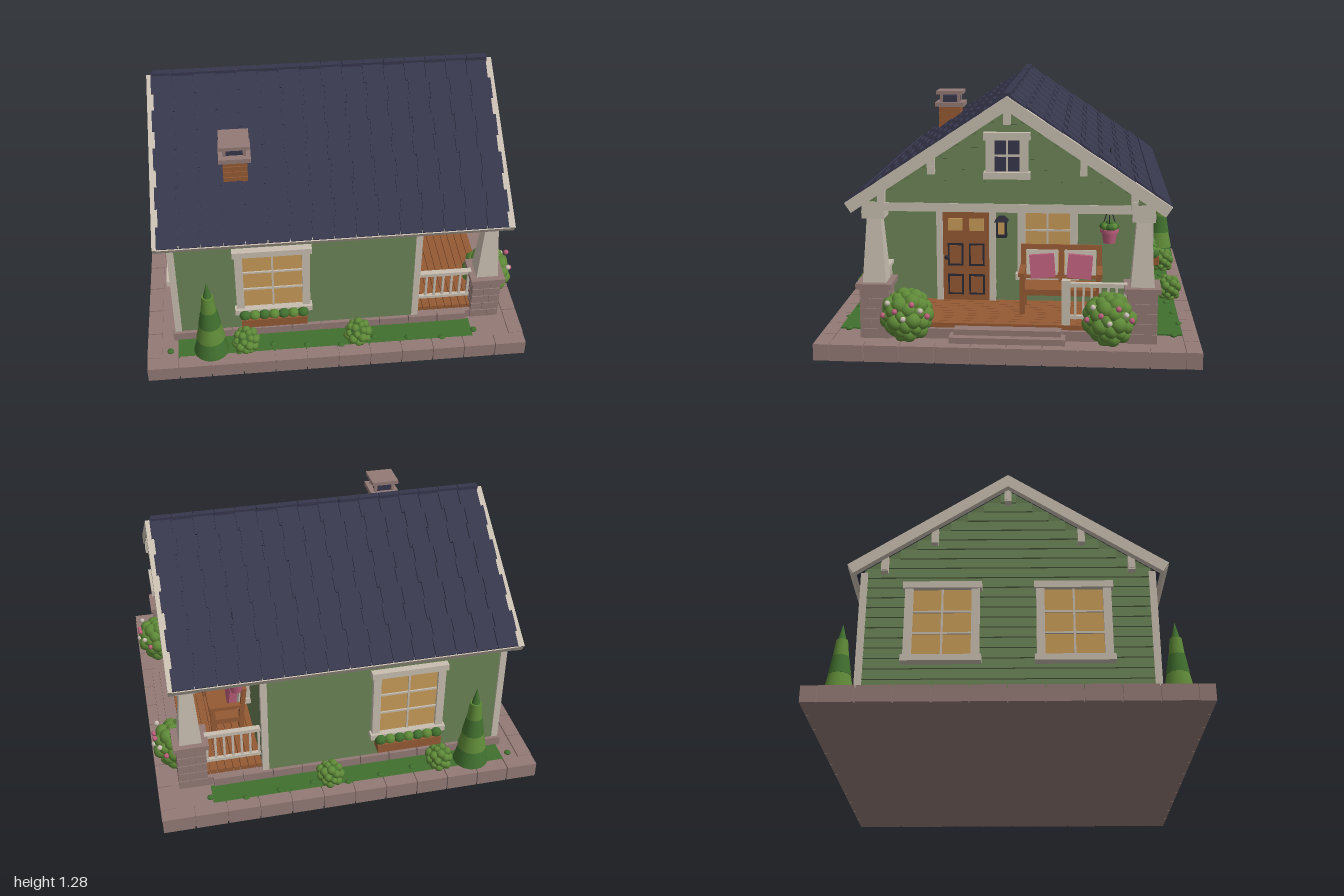
import * as THREE from 'three';

const mat = (name, color) => Object.assign(new THREE.MeshStandardMaterial({ color }), { name });
const M = {
  roof: mat('slate navy', 0x37374d), green: mat('siding green', 0x647a50), trim: mat('cream trim', 0xc8beb0),
  stone: mat('mauve stone', 0x937a76), wood: mat('warm wood', 0x955a34), leaf: mat('leaf green', 0x5f8a38),
  grass: mat('dark green', 0x41702f), glow: mat('lit glass', 0xc89c58), pink: mat('rose', 0xbd5f7c),
  iron: mat('dark iron', 0x2a2a36),
};
const RIDGE = 1.265, SLOPE = 0.585, TAN = Math.tan(SLOPE);

const group = (p, name, x = 0, y = 0, z = 0, ry = 0) => {
  const g = new THREE.Group();
  g.name = name; g.position.set(x, y, z); g.rotation.y = ry; p.add(g);
  return g;
};
const put = (p, name, geo, m, x, y, z) => {
  const o = new THREE.Mesh(geo, m);
  o.name = name; o.position.set(x, y, z); p.add(o);
  return o;
};
const box = (p, name, m, x, y, z, w, h, d) => put(p, name, new THREE.BoxGeometry(w, h, d), m, x, y, z);
const ball = (p, name, m, x, y, z, r) => put(p, name, new THREE.SphereGeometry(r, 9, 7), m, x, y, z);

// box whose top is narrowed by a factor
function taper(p, name, m, x, y, z, w, h, d, k) {
  const g = new THREE.BoxGeometry(w, h, d), a = g.attributes.position;
  for (let i = 0; i < a.count; i++) if (a.getY(i) > 0) a.setXYZ(i, a.getX(i) * k, a.getY(i), a.getZ(i) * k);
  g.computeVertexNormals();
  return put(p, name, g, m, x, y, z);
}

// square pier of coursed blocks with narrow recessed joints
function masonry(p, name, m, x, y0, z, w, d, rows, h) {
  const g = group(p, name, x, y0, z);
  box(g, name + 'Core', m, 0, rows * h / 2, 0, w - 0.016, rows * h, d - 0.016);
  for (let r = 0; r < rows; r++) {
    const cut = r % 2 ? 0.4 : 0.6;
    for (const s of [-1, 1]) for (const t of [-1, 1]) {
      const bw = w * (s < 0 ? cut : 1 - cut), bd = d * (t < 0 ? 1 - cut : cut);
      box(g, name + 'Block', m, s * (w - bw) / 2, (r + 0.5) * h, t * (d - bd) / 2, bw - 0.006, h - 0.006, bd - 0.006);
    }
  }
}

// lapped boards on a wall facing local +z; width follows the given rule
function siding(p, y0, y1, widthAt, pitch = 0.054) {
  for (let y = y0; y < y1 - 0.01; y += pitch) {
    const h = Math.min(pitch, y1 - y), w = widthAt(y + h);
    if (w > 0.03) box(p, 'sidingBoard', M.green, 0, y + h / 2, 0.004, w, h + 0.004, 0.008).rotation.x = -0.2;
  }
}

function windowUnit(p, x, y, w, h, glass, cols, rows, planter) {
  const g = group(p, 'window', x, y, 0.01), t = 0.04;
  box(g, 'glass', glass, 0, 0, 0.008, w - t, h - t, 0.008);
  for (const s of [-1, 1]) box(g, 'sideCasing', M.trim, s * (w - t) / 2, 0, 0.012, t, h, 0.035);
  box(g, 'headCasing', M.trim, 0, h / 2 - 0.015, 0.016, w + 0.02, 0.035, 0.045);
  box(g, 'sill', M.trim, 0, -h / 2 + 0.015, 0.018, w + 0.02, 0.032, 0.055);
  for (let i = 1; i < cols; i++) box(g, 'muntin', M.trim, (i / cols - 0.5) * (w - 2 * t), 0, 0.014, 0.01, h - t, 0.012);
  for (let i = 1; i < rows; i++) box(g, 'muntin', M.trim, 0, (i / rows - 0.5) * (h - 2 * t), 0.014, w - t, 0.01, 0.012);
  if (planter) {
    box(g, 'planterBox', M.wood, 0, -h / 2 - 0.035, 0.045, w - 0.04, 0.05, 0.07);
    for (let i = 0; i < 7; i++) ball(g, 'planterLeaf', i % 2 ? M.leaf : M.grass, (i / 6 - 0.5) * (w - 0.08), -h / 2, 0.05, 0.03);
  }
}

function bush(p, x, y, z, r, n, flowers) {
  const g = group(p, 'bush', x, y, z);
  ball(g, 'bushCore', M.grass, 0, 0, 0, r * 0.82);
  for (let i = 0; i < n; i++) {
    const v = 1 - 2 * (i + 0.5) / n, q = Math.sqrt(1 - v * v), a = i * 2.39996;
    ball(g, 'leafClump', M.leaf, q * Math.cos(a) * r * 0.76, v * r * 0.76, q * Math.sin(a) * r * 0.76, r * (0.25 + 0.04 * (i % 3)));
  }
  for (let i = 0; i < flowers; i++) {
    const a = -1 + 2 * i / (flowers - 1);
    ball(g, 'flower', i % 2 ? M.trim : M.pink, r * 0.95 * Math.cos(a), r * (0.1 + 0.28 * (i % 3)), r * Math.sin(a), 0.014);
  }
}

function railing(p, x, z, len, ry) {
  const g = group(p, 'railing', x, 0, z, ry), n = Math.round(len / 0.045);
  box(g, 'topRail', M.trim, 0, 0.352, 0, len, 0.02, 0.03);
  box(g, 'bottomRail', M.trim, 0, 0.19, 0, len, 0.016, 0.02);
  for (let i = 0; i <= n; i++) box(g, 'baluster', M.trim, (i / n - 0.5) * (len - 0.02), 0.262, 0, 0.012, 0.17, 0.012);
}

function roofSide(p, ry) {
  const g = group(group(p, 'roofSide', 0, RIDGE, 0, ry), 'roofSlope');
  g.rotation.x = SLOPE;
  const dx = ry ? 0.015 : -0.015, L = 0.92;
  box(g, 'roofDeck', M.roof, dx, -0.015, L / 2, 1.74, 0.03, L);
  for (const s of [-1, 1]) box(g, 'bargeBoard', M.trim, dx + s * 0.882, -0.024, L / 2 + 0.003, 0.035, 0.056, L + 0.01);
  box(g, 'eaveFascia', M.trim, dx, -0.02, L, 1.76, 0.04, 0.02);
  for (let r = 0; r < 9; r++) for (let c = 0; c < 16; c++) {
    const shift = (r % 2 ? 0.006 : -0.006), down = c % 2 && r < 8 ? 0.022 : 0;
    box(g, 'shingle', M.roof, dx + (c - 7.5) * 0.1092 + shift, 0.007, (r + 0.5) * L / 9 + down, 0.105, 0.011, 0.112).rotation.x = 0.07;
  }
}

export function createModel() {
  const root = new THREE.Group();
  root.name = 'cottage';

  // plinth, curb stones and lawns
  const yard = group(root, 'yard');
  box(yard, 'groundSlab', M.stone, -0.01, 0.036, 0, 1.95, 0.072, 1.83);
  for (const s of [-1, 1]) {
    for (let i = 0; i < 12; i++) box(yard, 'curbStone', M.stone, -0.01 + (i - 5.5) * 0.165, 0.041, s * 0.892, 0.159, 0.082, 0.075);
    for (let i = 0; i < 10; i++) box(yard, 'curbStone', M.stone, -0.01 + s * 0.952, 0.041, (i - 4.5) * 0.171, 0.075, 0.082, 0.165);
    box(yard, 'lawn', M.grass, -0.065, 0.074, s * 0.79, 1.55, 0.012, 0.13);
    for (let i = 0; i < 10; i++) ball(yard, 'grassTuft', M.grass, -0.88 + i * 0.178, 0.08, s * (0.81 + 0.02 * (i % 3)), 0.018).scale.y = 0.6;
  }
  masonryBand(yard);

  // solid house body under the roof
  const house = group(root, 'house');
  const eave = RIDGE - 0.7 * TAN - 0.034, apex = RIDGE - 0.034;
  const prism = (pts, depth) => new THREE.ExtrudeGeometry(new THREE.Shape(pts.map(q => new THREE.Vector2(...q))), { depth, bevelEnabled: false }).rotateY(Math.PI / 2);
  put(house, 'walls', prism([[-0.7, 0.12], [0.7, 0.12], [0.7, eave], [0, apex], [-0.7, eave]], 1.255), M.green, -0.835, 0, 0);
  const gableWidth = y => Math.min(1.4, 2 * (apex - y) / TAN);

  // long walls
  for (const ry of [0, Math.PI]) {
    const s = ry ? -1 : 1, w = group(house, 'longWall', 0, 0, s * 0.7, ry);
    const boards = group(w, 'boards', s * -0.2075);
    siding(boards, 0.125, 0.75, () => 1.25);
    windowUnit(w, s * -0.332, 0.465, 0.38, 0.42, M.glow, 2, 3, true);
  }
  // back wall with two windows
  const back = group(house, 'backWall', -0.835, 0, 0, -Math.PI / 2);
  siding(back, 0.125, 1.21, gableWidth);
  for (const s of [-1, 1]) windowUnit(back, s * 0.315, 0.465, 0.36, 0.42, M.glow, 2, 3, false);
  // porch wall with its window
  const front = group(house, 'porchWall', 0.42, 0, 0, Math.PI / 2);
  siding(front, 0.155, 1.21, gableWidth);
  windowUnit(front, 0.175, 0.48, 0.31, 0.41, M.glow, 2, 3, false);
  for (const x of [-0.835, 0.417]) for (const s of [-1, 1]) box(house, 'cornerTrim', M.trim, x, 0.435, s * 0.7, 0.034, 0.62, 0.034);

  // panelled front door
  const door = group(front, 'door', -0.247, 0, 0.012);
  box(door, 'doorSlab', M.wood, 0, 0.395, 0.005, 0.245, 0.48, 0.025);
  for (const s of [-1, 1]) {
    box(door, 'doorCasing', M.trim, s * 0.137, 0.405, 0.008, 0.033, 0.5, 0.035);
    box(door, 'doorLight', M.glow, s * 0.055, 0.56, 0.018, 0.075, 0.065, 0.009);
    for (const [y, h] of [[0.4, 0.12], [0.24, 0.11]]) {
      box(door, 'panelGroove', M.iron, s * 0.055, y, 0.017, 0.082, h, 0.006);
      box(door, 'raisedPanel', M.wood, s * 0.055, y, 0.019, 0.062, h - 0.022, 0.009);
    }
  }
  box(door, 'doorHead', M.trim, 0, 0.652, 0.012, 0.315, 0.036, 0.045);
  ball(door, 'doorKnob', M.iron, -0.1, 0.385, 0.028, 0.012);

  // wall lantern
  const lamp = group(front, 'lantern', -0.06, 0.555, 0.055);
  box(lamp, 'lanternGlass', M.glow, 0, 0, 0, 0.04, 0.07, 0.04);
  for (const a of [-1, 1]) for (const b of [-1, 1]) box(lamp, 'lanternBar', M.iron, a * 0.022, 0, b * 0.022, 0.009, 0.08, 0.009);
  box(lamp, 'lanternFoot', M.iron, 0, -0.043, 0, 0.055, 0.014, 0.055);
  taper(lamp, 'lanternCap', M.iron, 0, 0.045, 0, 0.07, 0.025, 0.07, 0.4);
  box(lamp, 'lanternArm', M.iron, 0, 0.02, -0.035, 0.02, 0.05, 0.04);

  // porch floor and steps
  const porch = group(root, 'porch');
  for (let i = 0; i < 10; i++) box(porch, 'floorPlank', M.wood, 0.445 + i * 0.04, 0.14, 0, 0.037, 0.024, 1.38);
  box(porch, 'upperStep', M.stone, 0.855, 0.11, 0, 0.06, 0.06, 0.52);
  box(porch, 'lowerStep', M.stone, 0.885, 0.092, 0, 0.08, 0.04, 0.56);

  // tapered posts on stone piers, beams, side rails
  for (const s of [-1, 1]) {
    masonry(porch, 'pier', M.stone, 0.795, 0.08, s * 0.647, 0.155, 0.15, 5, 0.051);
    box(porch, 'pierCap', M.stone, 0.795, 0.345, s * 0.647, 0.18, 0.026, 0.175);
    taper(porch, 'post', M.trim, 0.795, 0.52, s * 0.647, 0.115, 0.33, 0.115, 0.58);
    box(porch, 'postCapital', M.trim, 0.795, 0.695, s * 0.647, 0.11, 0.04, 0.11);
    box(porch, 'sideBeam', M.trim, 0.61, 0.735, s * 0.647, 0.4, 0.035, 0.06);
    box(porch, 'beamBrace', M.trim, 0.68, 0.702, s * 0.647, 0.14, 0.022, 0.03).rotation.z = -0.4;
    railing(porch, 0.575, s * 0.647, 0.29, 0);
  }
  box(porch, 'frontBeam', M.trim, 0.805, 0.735, 0, 0.09, 0.042, 1.4);
  railing(porch, 0.8, -0.425, 0.3, Math.PI / 2);
  box(porch, 'newelPost', M.trim, 0.8, 0.262, -0.28, 0.042, 0.225, 0.042);

  // porch gable, attic window and eave brackets
  put(porch, 'porchGable', prism([[-0.7, 0.75], [0.7, 0.75], [0.7, eave], [0, apex]].concat([[-0.7, eave]]), 0.03), M.green, 0.805, 0, 0);
  const gable = group(porch, 'gableFace', 0.835, 0, 0, Math.PI / 2);
  siding(gable, 0.757, 1.21, gableWidth);
  windowUnit(gable, 0, 0.99, 0.2, 0.215, M.roof, 2, 2, false);
  for (const f of [gable, back]) for (const z of [-0.6, -0.36, 0, 0.36, 0.6]) {
    const y = RIDGE - Math.abs(z) * TAN - 0.085;
    box(f, 'eaveBracket', M.trim, z, y, 0.022, 0.034, 0.085, 0.045);
    box(f, 'bracketFoot', M.trim, z, y - 0.02, 0.026, 0.024, 0.03, 0.04);
  }

  // bench with cushions
  const bench = group(porch, 'bench', 0.56, 0, -0.248);
  box(bench, 'seat', M.wood, 0.01, 0.265, 0, 0.18, 0.03, 0.4);
  const rest = group(bench, 'backrest', -0.06, 0.28, 0);
  rest.rotation.z = 0.12;
  for (const y of [0.03, 0.175]) box(rest, 'backRail', M.wood, 0, y, 0, 0.022, 0.03, 0.41);
  for (const z of [-0.195, 0, 0.195]) box(rest, 'backStile', M.wood, 0, 0.09, z, 0.024, 0.2, 0.025);
  for (const s of [-1, 1]) {
    box(rest, 'backPad', M.trim, 0.008, 0.1, s * 0.098, 0.022, 0.13, 0.16);
    const c = box(rest, 'cushion', M.pink, 0.045, 0.085, s * 0.095, 0.04, 0.12, 0.125);
    c.rotation.x = s * 0.08;
    box(bench, 'armrest', M.wood, 0.015, 0.355, s * 0.195, 0.18, 0.02, 0.03);
    box(bench, 'frontLeg', M.wood, 0.09, 0.25, s * 0.19, 0.025, 0.2, 0.025);
    box(bench, 'rearLeg', M.wood, -0.06, 0.21, s * 0.19, 0.025, 0.13, 0.025);
  }

  // hanging flower pot
  const hang = group(porch, 'hangingPot', 0.525, 0.53, -0.49);
  put(hang, 'pot', new THREE.CylinderGeometry(0.042, 0.03, 0.07, 14), M.pink, 0, 0, 0);
  put(hang, 'potRim', new THREE.CylinderGeometry(0.048, 0.048, 0.016, 14), M.pink, 0, 0.03, 0);
  for (let i = 0; i < 9; i++) ball(hang, 'potLeaf', i % 2 ? M.leaf : M.grass, i ? 0.03 * Math.cos(i * 0.785) : 0, i ? 0.05 : 0.065, i ? 0.03 * Math.sin(i * 0.785) : 0, 0.02);
  for (let i = 0; i < 3; i++) {
    const a = i * 2.094, rim = new THREE.Vector3(0.043 * Math.cos(a), 0.035, 0.043 * Math.sin(a));
    put(hang, 'potCord', new THREE.TubeGeometry(new THREE.LineCurve3(rim, new THREE.Vector3(0, 0.165, 0)), 1, 0.0025, 5), M.iron, 0, 0, 0);
  }
  put(hang, 'potHook', new THREE.CylinderGeometry(0.003, 0.003, 0.3, 5), M.iron, 0, 0.3, 0);

  // shingled roof with ridge caps
  const roof = group(root, 'roof');
  for (const ry of [0, Math.PI]) roofSide(roof, ry);
  for (let i = 0; i < 16; i++) box(roof, 'ridgeCap', M.roof, -0.015 + (i - 7.5) * 0.1092, RIDGE + 0.006, 0, 0.106, 0.026, 0.036);

  // brick chimney
  const chimney = group(root, 'chimney', -0.488, 0, 0.443);
  masonry(chimney, 'chimneyShaft', M.wood, 0, 0.87, 0, 0.128, 0.135, 6, 0.033);
  box(chimney, 'chimneyCrown', M.stone, 0, 1.08, 0, 0.16, 0.025, 0.17);
  box(chimney, 'flue', M.roof, 0, 1.112, 0, 0.1, 0.04, 0.1);
  for (const a of [-1, 1]) for (const b of [-1, 1]) box(chimney, 'capLeg', M.stone, a * 0.05, 1.117, b * 0.05, 0.016, 0.05, 0.016);
  box(chimney, 'chimneyCap', M.stone, 0, 1.15, 0, 0.15, 0.02, 0.155);

  // conical trees and bushes, mirrored front to back
  const plants = group(root, 'plants');
  for (const s of [-1, 1]) {
    const tree = group(plants, 'coneTree', -0.665, 0.08, s * 0.82);
    for (let i = 0; i < 5; i++) {
      const r = 0.092 * (1 - i * 0.185), top = i < 4 ? r * 0.72 : 0;
      put(tree, 'treeTier', new THREE.CylinderGeometry(top, r, 0.1, 18), i % 2 ? M.leaf : M.grass, 0, 0.062 + i * 0.092, 0);
    }
    bush(plants, -0.485, 0.14, s * 0.825, 0.072, 28, 0);
    bush(plants, 0.1, 0.14, s * 0.825, 0.072, 28, 0);
    bush(plants, 0.85, 0.2, s * 0.49, 0.127, 52, 7);
  }
  return root;
}

// low foundation course around the house and porch
function masonryBand(p) {
  box(p, 'foundation', M.stone, -0.01, 0.098, 0, 1.68, 0.05, 1.42);
  for (const s of [-1, 1]) {
    for (let i = 0; i < 10; i++) box(p, 'foundationStone', M.stone, -0.085 + (i - 4.5) * 0.156, 0.1, s * 0.715, 0.15, 0.05, 0.034);
  }
  for (let i = 0; i < 9; i++) box(p, 'foundationStone', M.stone, -0.85, 0.1, (i - 4) * 0.158, 0.034, 0.05, 0.152);
}
